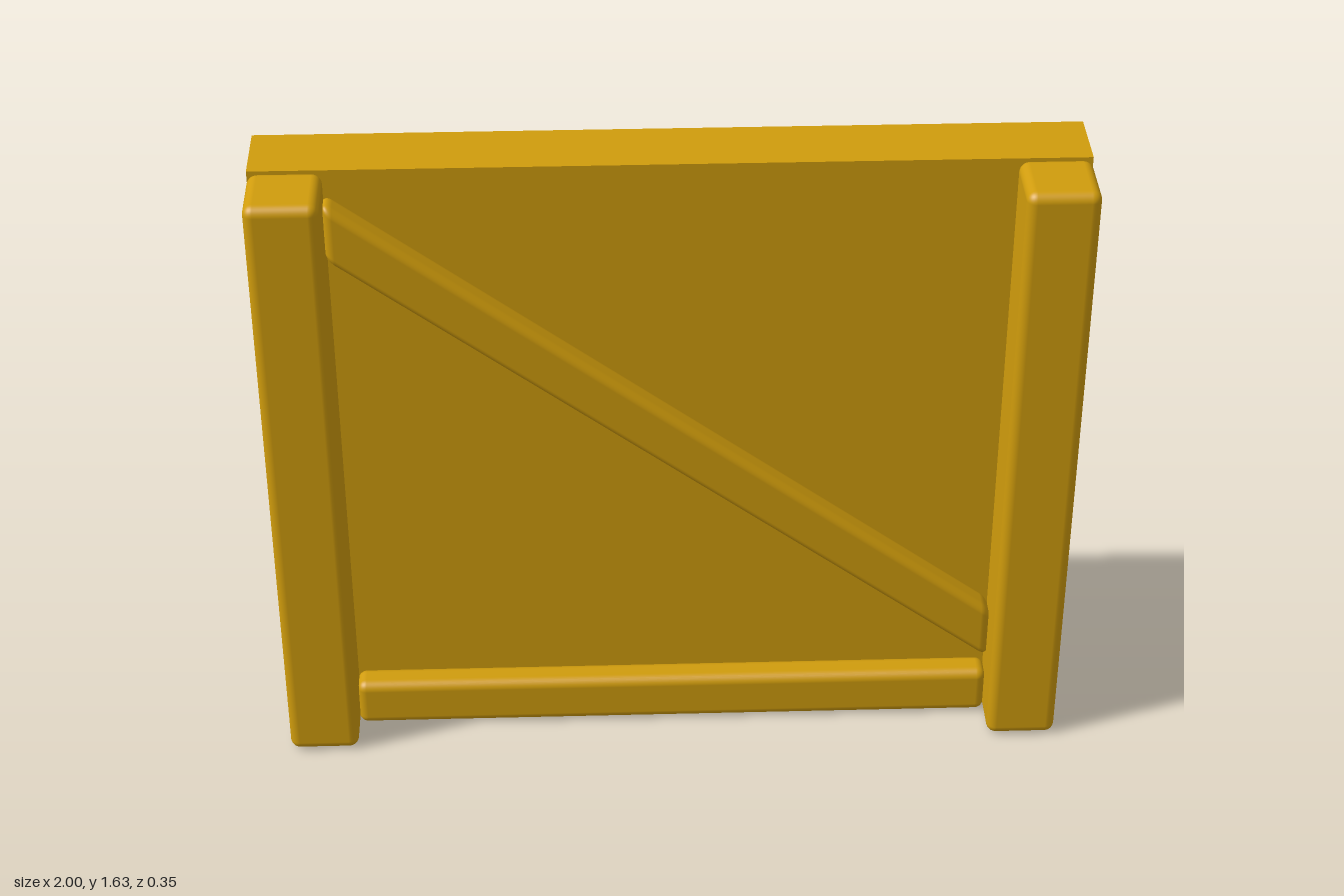
import * as THREE from 'three';
import { RoundedBoxGeometry } from 'three/addons/geometries/RoundedBoxGeometry.js';

const HEIGHT = 1.635;

export function createModel() {
  const group = new THREE.Group();
  group.name = 'bracedPanel';
  const wood = new THREE.MeshStandardMaterial({ color: 0xd09c0c });
  const thinWood = new THREE.MeshStandardMaterial({ color: 0xd09c0c, side: THREE.DoubleSide });

  const add = (name, geometry, material, x, y, z) => {
    const mesh = new THREE.Mesh(geometry, material);
    mesh.name = name;
    mesh.position.set(x, y, z);
    group.add(mesh);
    return mesh;
  };

  // Softened timber spanning z0 to z1
  const timber = (name, w, h, z0, z1, x, y, radius) =>
    add(name, new RoundedBoxGeometry(w, h, z1 - z0, 4, radius), wood, x, y, (z0 + z1) / 2);

  // Shallow thin-walled tray, open at the back (last box face dropped)
  const tray = new THREE.BoxGeometry(2, HEIGHT, 0.175);
  tray.setIndex(Array.from(tray.index.array).slice(0, 30));
  tray.clearGroups();
  add('panelTray', tray, thinWood, 0, HEIGHT / 2, -0.0875);

  // Upright posts, their backs just breaking through the panel
  for (const side of [-1, 1]) {
    timber(side > 0 ? 'leftPost' : 'rightPost', 0.177, HEIGHT - 0.004, -0.004, 0.175,
      side * 0.9105, HEIGHT / 2, 0.025);
  }

  // Bottom rail between the posts
  timber('bottomRail', 1.65, 0.131, -0.004, 0.075, 0, 0.0675, 0.024);

  // Diagonal brace: sheared so its ends stay vertical against the posts
  const brace = timber('diagonalBrace', 1.65, 0.157, -0.001, 0.075, 0, 0.879, 0.024);
  const shear = new THREE.Matrix4().set(
    1, 0, 0, 0,
    -0.757, 1, 0, 0,
    0, 0, 1, 0,
    0, 0, 0, 1);
  brace.geometry.applyMatrix4(shear);

  return group;
}
